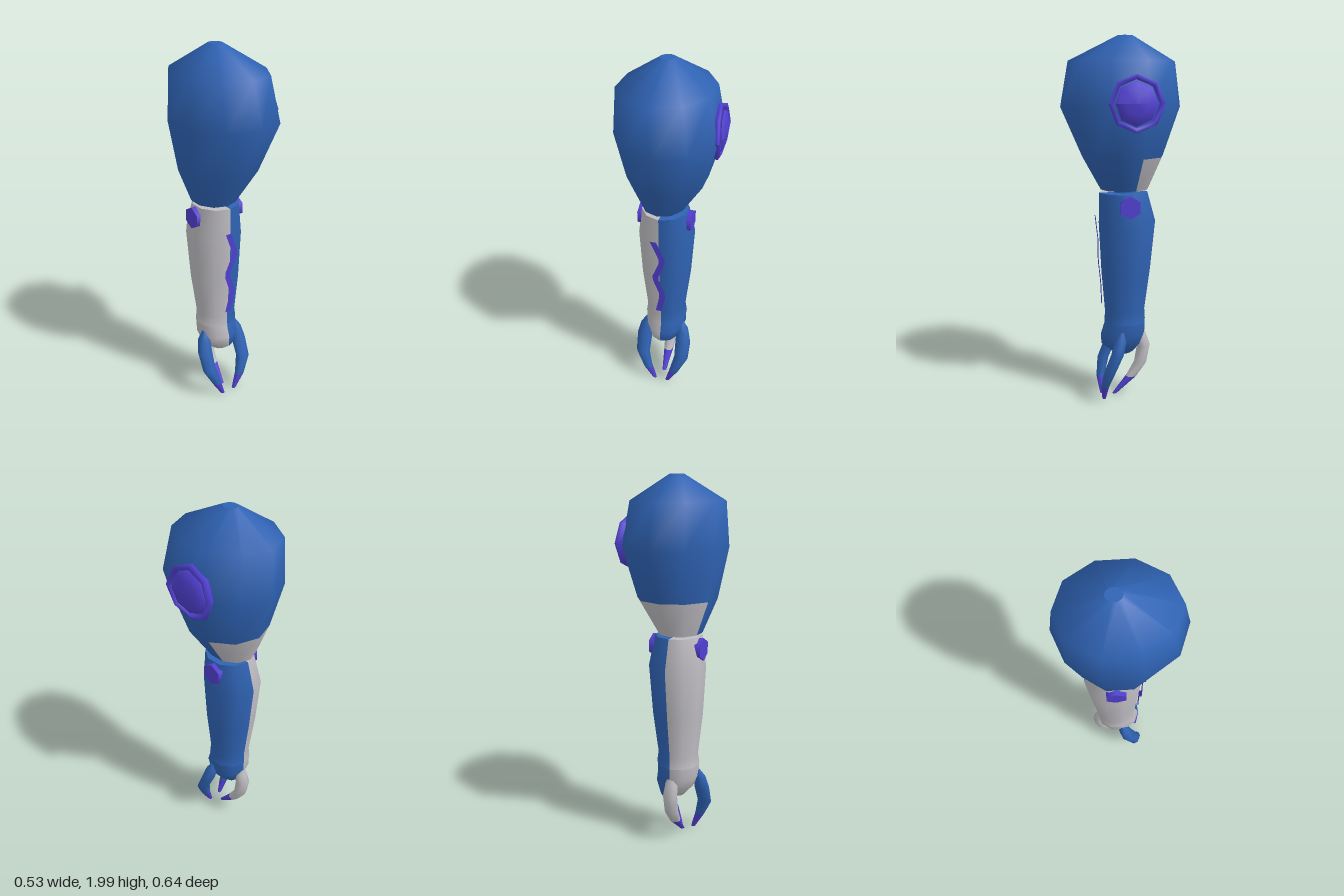
import * as THREE from 'three';

const mat = (name, color, side = THREE.FrontSide) => {
  const m = new THREE.MeshStandardMaterial({ color, side });
  m.name = name;
  return m;
};

// Loft through level oval rings [y, cx, cz, rx, rz], listed top to bottom.
// paint(row, column) picks a material index for each panel.
function loft(name, rings, sides, materials, paint) {
  const pos = [], faces = materials.map(() => []);
  for (const [y, cx, cz, rx, rz] of rings) {
    for (let k = 0; k < sides; k++) {
      const a = (k / sides) * Math.PI * 2;
      pos.push(cx + rx * Math.sin(a), y, cz + rz * Math.cos(a));
    }
  }
  for (let r = 0; r < rings.length - 1; r++) {
    for (let k = 0; k < sides; k++) {
      const a = r * sides + k, b = r * sides + ((k + 1) % sides);
      const c = a + sides, d = b + sides;
      faces[paint(r, k)].push(c, d, b, c, b, a);
    }
  }
  // End caps use their own vertices so the rims stay sharp
  for (const r of [0, rings.length - 1]) {
    const [y, cx, cz] = rings[r];
    const base = pos.length / 3, top = r === 0;
    pos.push(...pos.slice(r * sides * 3, (r + 1) * sides * 3), cx, y, cz);
    for (let k = 0; k < sides; k++) {
      const a = base + k, b = base + ((k + 1) % sides), m = base + sides;
      faces[paint(top ? 0 : r - 1, k)].push(...(top ? [a, b, m] : [b, a, m]));
    }
  }
  const g = new THREE.BufferGeometry();
  g.setAttribute('position', new THREE.Float32BufferAttribute(pos, 3));
  g.setIndex(faces.flat());
  let start = 0;
  faces.forEach((f, i) => {
    g.addGroup(start, f.length, i);
    start += f.length;
  });
  g.computeVertexNormals();
  const mesh = new THREE.Mesh(g, materials);
  mesh.name = name;
  return mesh;
}

export function createModel() {
  const blue = mat('armourBlue', 0x2f63b4);
  const grey = mat('paleGrey', 0xc0bec3);
  const purple = mat('accentPurple', 0x5140d2, THREE.DoubleSide);
  const model = new THREE.Group();
  model.name = 'mechanicalArm';
  const MID = -0.04; // centre line of forearm and hand

  // Bulbous upper arm with a grey panel low on its back
  model.add(loft('upperArm', [
    [2.0, -0.03, -0.03, 0.035, 0.04],
    [1.87, -0.027, -0.012, 0.24, 0.283],
    [1.64, -0.009, -0.003, 0.272, 0.318],
    [1.38, -0.027, -0.017, 0.21, 0.218],
    [1.2, -0.05, -0.03, 0.116, 0.13],
  ], 10, [blue, grey], (r, k) => (r === 3 && k >= 3 && k <= 6 ? 1 : 0)));

  // Elbow joint bridging the small gap
  const elbow = new THREE.Mesh(new THREE.CylinderGeometry(0.06, 0.06, 0.06, 10), blue);
  elbow.name = 'elbowJoint';
  elbow.position.set(MID, 1.19, -0.03);
  model.add(elbow);

  // Forearm and palm: left half blue, right half grey
  const halves = (r, k) => (k < 5 ? 0 : 1);
  model.add(loft('forearm', [
    [1.185, MID, -0.022, 0.125, 0.132],
    [1.02, MID, -0.043, 0.152, 0.157],
    [0.75, MID, -0.036, 0.136, 0.137],
    [0.52, MID, -0.03, 0.109, 0.112],
    [0.46, MID, -0.03, 0.118, 0.116],
  ], 10, [blue, grey], halves));
  model.add(loft('palm', [
    [0.46, MID, -0.03, 0.115, 0.113],
    [0.39, MID, -0.02, 0.115, 0.125],
    [0.33, MID, -0.01, 0.09, 0.114],
    [0.28, MID, -0.02, 0.045, 0.065],
    [0.265, MID, -0.02, 0.03, 0.04],
  ], 10, [blue, grey], halves));

  // Two front fingers, mirrored about the centre line
  const tip = (r) => (r >= 4 ? 1 : 0);
  for (const s of [1, -1]) {
    const at = (x) => MID + s * x;
    model.add(loft(s > 0 ? 'leftFinger' : 'rightFinger', [
      [0.42, at(0.1), 0.005, 0.014, 0.012],
      [0.37, at(0.11), 0.015, 0.036, 0.034],
      [0.3, at(0.118), 0.033, 0.045, 0.036],
      [0.2, at(0.118), 0.075, 0.041, 0.033],
      [0.1, at(0.08), 0.097, 0.027, 0.024],
      [0.01, at(0.04), 0.096, 0.012, 0.01],
    ], 8, [blue, purple], tip));
  }

  // Rear finger
  model.add(loft('rearFinger', [
    [0.42, MID, -0.115, 0.02, 0.025],
    [0.37, MID, -0.118, 0.036, 0.034],
    [0.3, MID, -0.138, 0.042, 0.038],
    [0.2, MID, -0.12, 0.04, 0.036],
    [0.12, MID, -0.068, 0.029, 0.032],
    [0.02, MID, 0.03, 0.012, 0.012],
  ], 8, [grey, purple], tip));

  // Hexagonal elbow bolts
  for (const s of [1, -1]) {
    const bolt = new THREE.Mesh(new THREE.CylinderGeometry(0.06, 0.06, 0.04, 6).toNonIndexed(), purple);
    bolt.name = s > 0 ? 'leftBolt' : 'rightBolt';
    bolt.rotation.set(0, 0, Math.PI / 2);
    bolt.geometry.rotateY(Math.PI / 2);
    bolt.position.set(MID + s * 0.127, 1.12, -0.033);
    model.add(bolt);
  }

  // Wavy ribbon down the front of the forearm
  const path = [[-0.065, 1.055], [-0.02, 0.94], [-0.022, 0.91], [-0.058, 0.82],
    [-0.058, 0.79], [-0.026, 0.7], [-0.026, 0.66], [-0.048, 0.56]];
  const shape = new THREE.Shape([
    ...path.map(([x, y]) => new THREE.Vector2(x - 0.017, y)),
    ...path.slice().reverse().map(([x, y]) => new THREE.Vector2(x + 0.017, y)),
  ]);
  const ribbonGeo = new THREE.ShapeGeometry(shape);
  const rp = ribbonGeo.attributes.position;
  for (let i = 0; i < rp.count; i++) rp.setZ(i, 0.1 + (rp.getY(i) - 0.56) * 0.06);
  ribbonGeo.computeVertexNormals();
  const ribbon = new THREE.Mesh(ribbonGeo, purple);
  ribbon.name = 'frontRibbon';
  model.add(ribbon);

  // Shoulder disc: octagonal rim and domed centre, bent to follow the arm
  const disc = new THREE.Group();
  disc.name = 'shoulderDisc';
  const turned = (name, points) => {
    const g = new THREE.LatheGeometry(points.map(([r, h]) => new THREE.Vector2(r, h)), 8);
    g.rotateZ(-Math.PI / 2);
    const p = g.attributes.position;
    for (let i = 0; i < p.count; i++) {
      const y = p.getY(i), z = p.getZ(i);
      p.setX(i, p.getX(i) - y * y + z * 0.04);
    }
    g.computeVertexNormals();
    const mesh = new THREE.Mesh(g, purple);
    mesh.name = name;
    disc.add(mesh);
  };
  turned('discRim', [[0.13, -0.02], [0.143, 0.002], [0.143, 0.014], [0.122, 0.02], [0.117, -0.01]]);
  turned('discDome', [[0.112, -0.01], [0.105, 0.014], [0.06, 0.024], [0.0, 0.027]]);
  disc.position.set(0.24, 1.66, -0.035);
  model.add(disc);

  return model;
}
